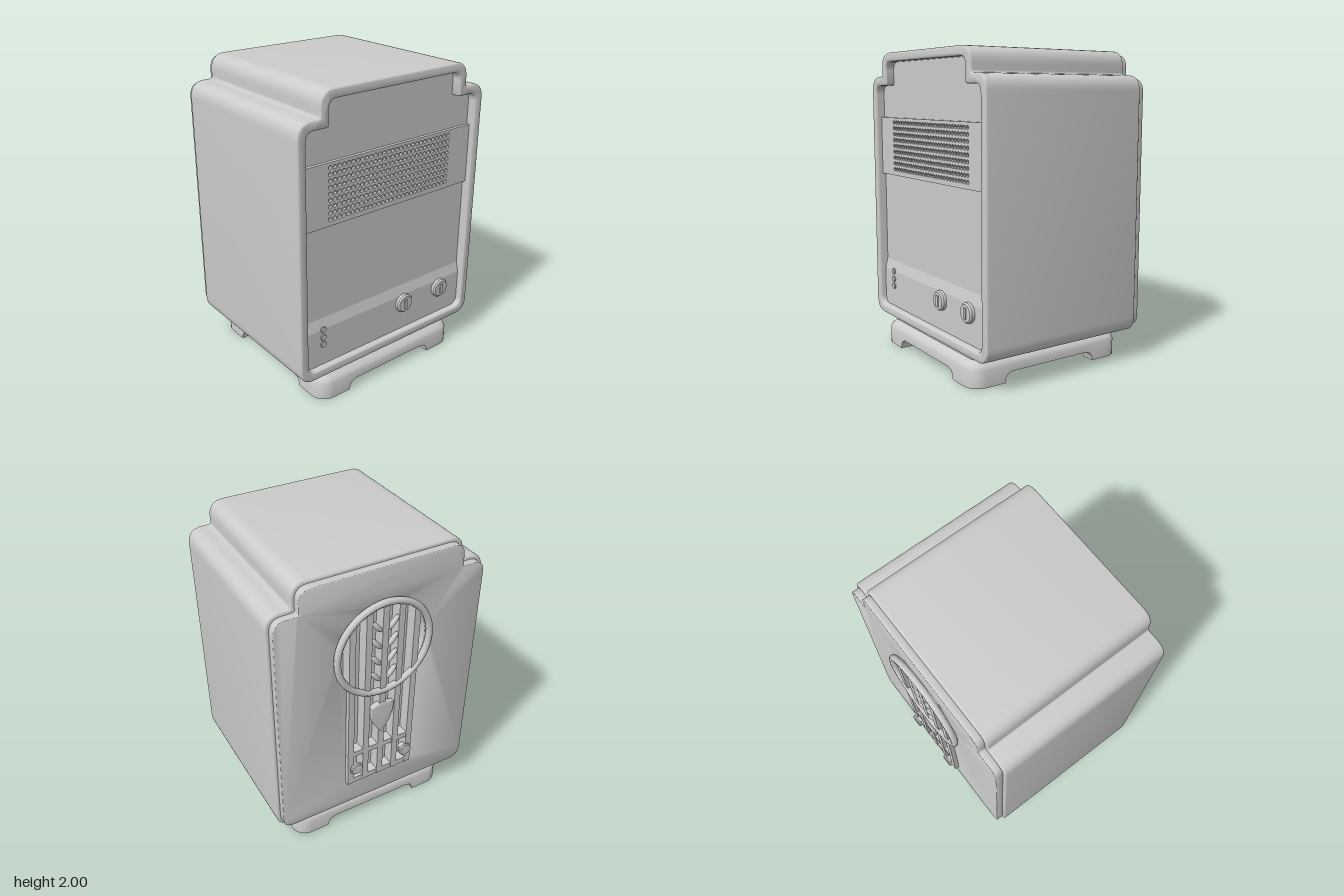
import * as THREE from 'three';
import { toCreasedNormals } from 'three/addons/utils/BufferGeometryUtils.js';

const mat = new THREE.MeshStandardMaterial({ color: 0xcccccc, side: THREE.DoubleSide });

function add(parent, name, geo, x = 0, y = 0, z = 0) {
  const m = new THREE.Mesh(geo, mat);
  m.name = name;
  m.position.set(x, y, z);
  parent.add(m);
  return m;
}

// Stepped cabinet outline, shrunk by d; u runs along -z, v is up
function outline(d, Type = THREE.Shape) {
  const w = 0.722 - d, t = 0.565 - d, b = 0.19 + d, s = 1.845 - d, top = 2 - d;
  const r = Math.max(0.1 - d * 0.7, 0.03);
  const p = new Type();
  p.moveTo(-w + r, b);
  p.lineTo(w - r, b);
  p.quadraticCurveTo(w, b, w, b + r);
  p.lineTo(w, s - r);
  p.quadraticCurveTo(w, s, w - r, s);
  p.lineTo(t + 0.015, s);
  p.quadraticCurveTo(t, s, t, s + 0.015);
  p.lineTo(t, top - r);
  p.quadraticCurveTo(t, top, t - r, top);
  p.lineTo(-t + r, top);
  p.quadraticCurveTo(-t, top, -t, top - r);
  p.lineTo(-t, s + 0.015);
  p.quadraticCurveTo(-t, s, -t - 0.015, s);
  p.lineTo(-w + r, s);
  p.quadraticCurveTo(-w, s, -w, s - r);
  p.lineTo(-w, b + r);
  p.quadraticCurveTo(-w, b, -w + r, b);
  return p;
}

// Extrude a (-z, y) shape along x from x0 to x1
function slab(shape, x0, x1, bevel = 0) {
  const g = new THREE.ExtrudeGeometry(shape, {
    depth: x1 - x0 - 2 * bevel, curveSegments: 8, bevelEnabled: bevel > 0,
    bevelThickness: bevel, bevelSize: bevel, bevelOffset: -bevel, bevelSegments: 4,
  });
  g.translate(0, 0, x0 + bevel);
  g.rotateY(Math.PI / 2);
  return toCreasedNormals(g, 0.7);
}

// Extrude an (x, y) polygon across z
function strip(points, halfWidth) {
  const g = new THREE.ExtrudeGeometry(new THREE.Shape(points.map(p => new THREE.Vector2(...p))),
    { depth: 2 * halfWidth, bevelEnabled: false });
  return g.translate(0, 0, -halfWidth);
}

// Footed base: a cross-section swept round a rounded square, cut away between the feet
function baseGeometry() {
  const h = 0.577, r = 0.1, loop = [];
  const cut = [[0.345, 0], [0.34, 0.03], [0.325, 0.052], [0.29, 0.065]];
  const side = [...cut, ...cut.map(([a, y]) => [-a, y]).reverse()];
  for (let k = 0; k < 4; k++) {
    const a = k * Math.PI / 2, c = Math.cos(a), s = Math.sin(a);
    const put = (x, z, nx, nz, y) =>
      loop.push([x * c - z * s, x * s + z * c, nx * c - nz * s, nx * s + nz * c, y]);
    for (const [t, y] of side) put(h, -t, 1, 0, y);
    for (let i = 0; i <= 6; i++) {
      const q = i / 6 * Math.PI / 2, nx = Math.cos(q), nz = Math.sin(q);
      put(h - r + r * nx, h - r + r * nz, nx, nz, 0);
    }
  }
  // [inset, height]
  const section = [[0.085, 0.1], [0.085, 0], [0, 0], [0, 0.11], [0.01, 0.132],
    [0.03, 0.146], [0.047, 0.16], [0.052, 0.195]];
  const pos = [], idx = [], n = loop.length;
  for (const [d, y] of section)
    for (const [x, z, nx, nz, yb] of loop) pos.push(x - nx * d, Math.max(y, yb), z - nz * d);
  for (let j = 0; j < section.length - 1; j++)
    for (let i = 0; i < n; i++) {
      const a = j * n + i, b = j * n + (i + 1) % n;
      idx.push(a, a + n, b, b, a + n, b + n);
    }
  const g = new THREE.BufferGeometry();
  g.setAttribute('position', new THREE.Float32BufferAttribute(pos, 3));
  g.setIndex(idx);
  return toCreasedNormals(g, 0.7);
}

// Round button whose axis lies along x
function button(radius, depth) {
  const pts = [[0, 0], [radius, 0], [radius, depth * 0.65], [radius * 0.85, depth], [0, depth]];
  const g = new THREE.LatheGeometry(pts.map(p => new THREE.Vector2(...p)), 24);
  return toCreasedNormals(g.rotateZ(-Math.PI / 2), 0.6);
}

export function createModel() {
  const model = new THREE.Group();
  model.name = 'cabinetRadio';

  // Cabinet shell, the core that forms the recess floor, and the face panel on the -x side
  const shell = outline(0);
  shell.holes.push(outline(0.06, THREE.Path));
  add(model, 'cabinetShell', slab(shell, -0.53, 0.622, 0.014));
  add(model, 'cabinetCore', slab(outline(0.04), -0.529, 0.562));
  const panel = outline(0.022);
  const opening = new THREE.Path();
  const a = Math.atan2(0.18, 0.24);
  opening.moveTo(-0.24, 0.42);
  opening.lineTo(0.24, 0.42);
  opening.absarc(0, 1.435, 0.3, -a, Math.PI + a, false);
  opening.lineTo(-0.24, 0.42);
  panel.holes.push(opening);
  add(model, 'facePanel', slab(panel, -0.577, -0.52, 0.006));

  // Base and its underside plate
  add(model, 'base', baseGeometry(), 0.048, 0, 0);
  add(model, 'basePlate', new THREE.BoxGeometry(1.0, 0.03, 1.0), 0.048, 0.071, 0);

  // Recessed side: control ledge and perforated vent band
  add(model, 'controlLedge', strip([[0.55, 0.22], [0.58, 0.22], [0.58, 0.5], [0.562, 0.57], [0.55, 0.57]], 0.68));
  const vent = new THREE.Shape([[-0.67, 1.18], [0.67, 1.18], [0.67, 1.57], [-0.67, 1.57]].map(p => new THREE.Vector2(...p)));
  for (let i = 0; i < 29; i++)
    for (let j = 0; j < 9; j++) {
      const hole = new THREE.Path();
      hole.absarc(-0.472 + i * 0.0336, 1.222 + j * 0.0395, 0.0135, 0, Math.PI * 2, true);
      vent.holes.push(new THREE.Path(hole.getPoints(4)));
    }
  const ventGeo = new THREE.ExtrudeGeometry(vent, { depth: 0.024, bevelEnabled: false });
  add(model, 'ventBand', ventGeo.rotateY(Math.PI / 2), 0.56, 0, 0);

  for (const z of [-0.14, -0.47]) {
    const knob = new THREE.Group();
    knob.name = 'controlKnob';
    knob.position.set(0.58, 0.445, z);
    add(knob, 'knobBody', button(0.064, 0.03));
    add(knob, 'knobGrip', new THREE.BoxGeometry(0.012, 0.07, 0.025), 0.031);
    model.add(knob);
  }
  for (const y of [0.5, 0.445, 0.395]) add(model, 'socket', button(0.021, 0.012), 0.578, y, 0.525);

  // Grille on the -x face: ring, vertical bars, leaves, shield and two knobs
  const grille = new THREE.Group();
  grille.name = 'grille';
  model.add(grille);
  const ring = add(grille, 'ring', new THREE.TorusGeometry(0.318, 0.022, 10, 64), -0.597, 1.435, 0);
  ring.rotation.y = Math.PI / 2;
  for (const z of [-0.22, -0.11, 0, 0.11, 0.22]) {
    const top = 1.435 + Math.sqrt(0.318 ** 2 - z ** 2);
    add(grille, 'bar', new THREE.BoxGeometry(0.08, top - 0.41, 0.042), -0.565, (top + 0.41) / 2, z);
  }
  for (const y of [0.43, 0.66]) add(grille, 'crossBar', new THREE.BoxGeometry(0.07, 0.04, 0.48), -0.567, y, 0);

  for (let i = 0; i < 4; i++)
    for (const s of [-1, 1]) {
      const leaf = add(grille, 'leaf', new THREE.SphereGeometry(1, 10, 8), -0.595, 1.24 + i * 0.12, s * 0.055);
      leaf.scale.set(0.018, 0.055, 0.018);
      leaf.rotation.x = s * 0.7;
    }

  const shield = new THREE.Shape();
  shield.moveTo(0, 0.78);
  shield.quadraticCurveTo(0.09, 0.88, 0.085, 1.0);
  shield.lineTo(0, 1.03);
  shield.lineTo(-0.085, 1.0);
  shield.quadraticCurveTo(-0.09, 0.88, 0, 0.78);
  add(grille, 'shield', slab(shield, -0.61, -0.57, 0.01));

  for (const z of [-0.185, 0.185]) {
    const knob = new THREE.Group();
    knob.name = 'tuningKnob';
    knob.position.set(-0.575, 0.55, z);
    knob.rotation.y = Math.PI;
    add(knob, 'knobStem', button(0.025, 0.045));
    add(knob, 'knobHead', button(0.045, 0.018), 0.04);
    grille.add(knob);
  }
  return model;
}
